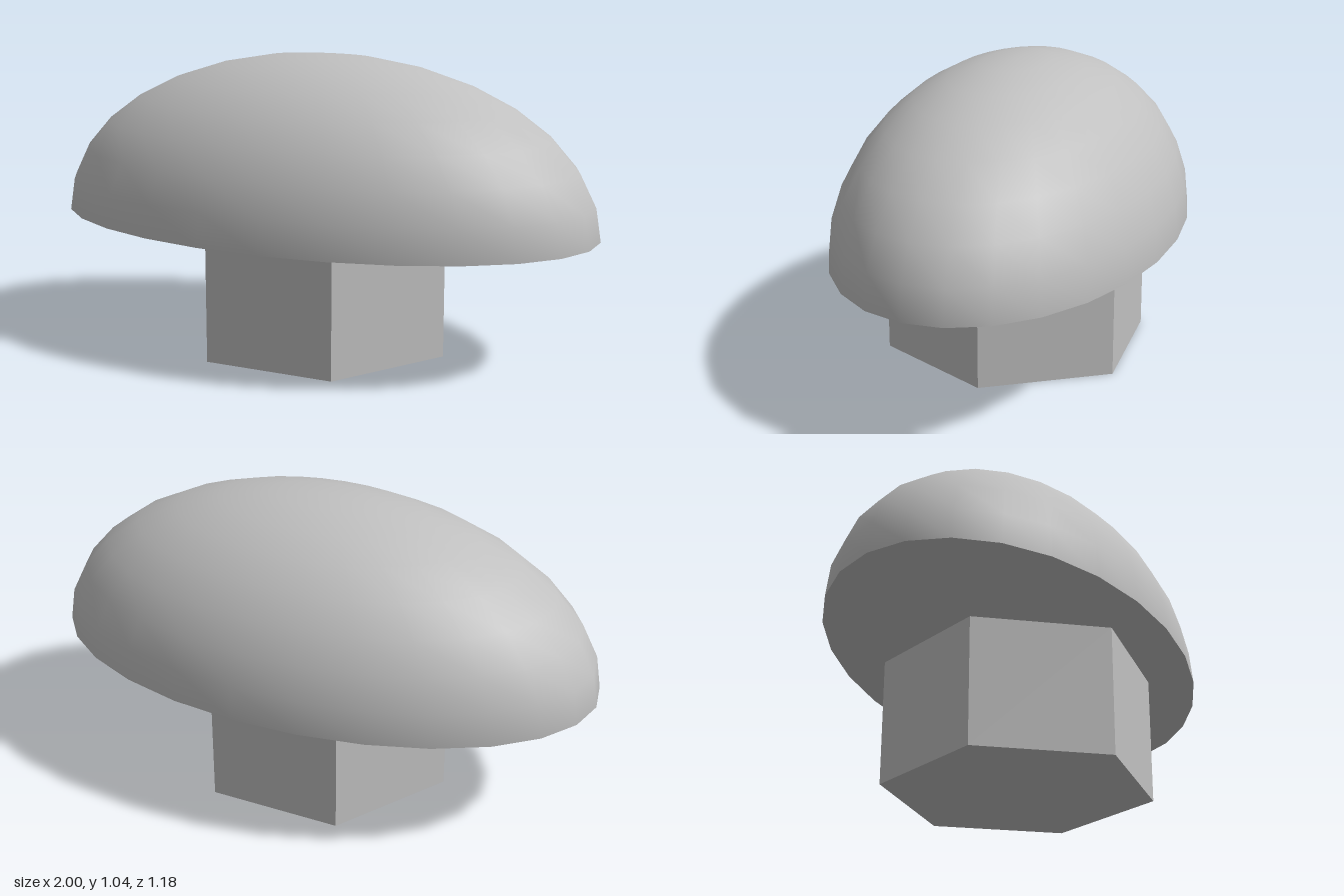
import * as THREE from 'three';

export function createModel() {
  const group = new THREE.Group();
  const grey = new THREE.MeshStandardMaterial({ color: 0xc0c0c0 });
  grey.name = 'light grey';

  const add = (name, geometry, parent) => {
    const mesh = new THREE.Mesh(geometry, grey);
    mesh.name = name;
    parent.add(mesh);
    return mesh;
  };

  const stemHeight = 0.45, sides = 27, rings = 8;

  // Hexagonal stem, corners on the x axis
  const stem = new THREE.CylinderGeometry(0.475, 0.475, stemHeight, 6, 1, false, Math.PI / 2).toNonIndexed();
  stem.computeVertexNormals();
  add('stem', stem, group).position.y = stemHeight / 2;

  // Half-ellipsoid cap with a flat underside
  const cap = new THREE.Group();
  cap.name = 'cap';
  cap.position.set(0.003, stemHeight, 0);
  const dome = new THREE.SphereGeometry(1, sides, rings, 0, Math.PI * 2, 0, Math.PI / 2);
  add('capDome', dome.scale(1.003, 0.59, 0.59), cap);
  const underside = new THREE.CircleGeometry(1, sides, Math.PI).rotateX(Math.PI / 2);
  add('capUnderside', underside.scale(1.003, 1, 0.59), cap);
  group.add(cap);

  return group;
}
